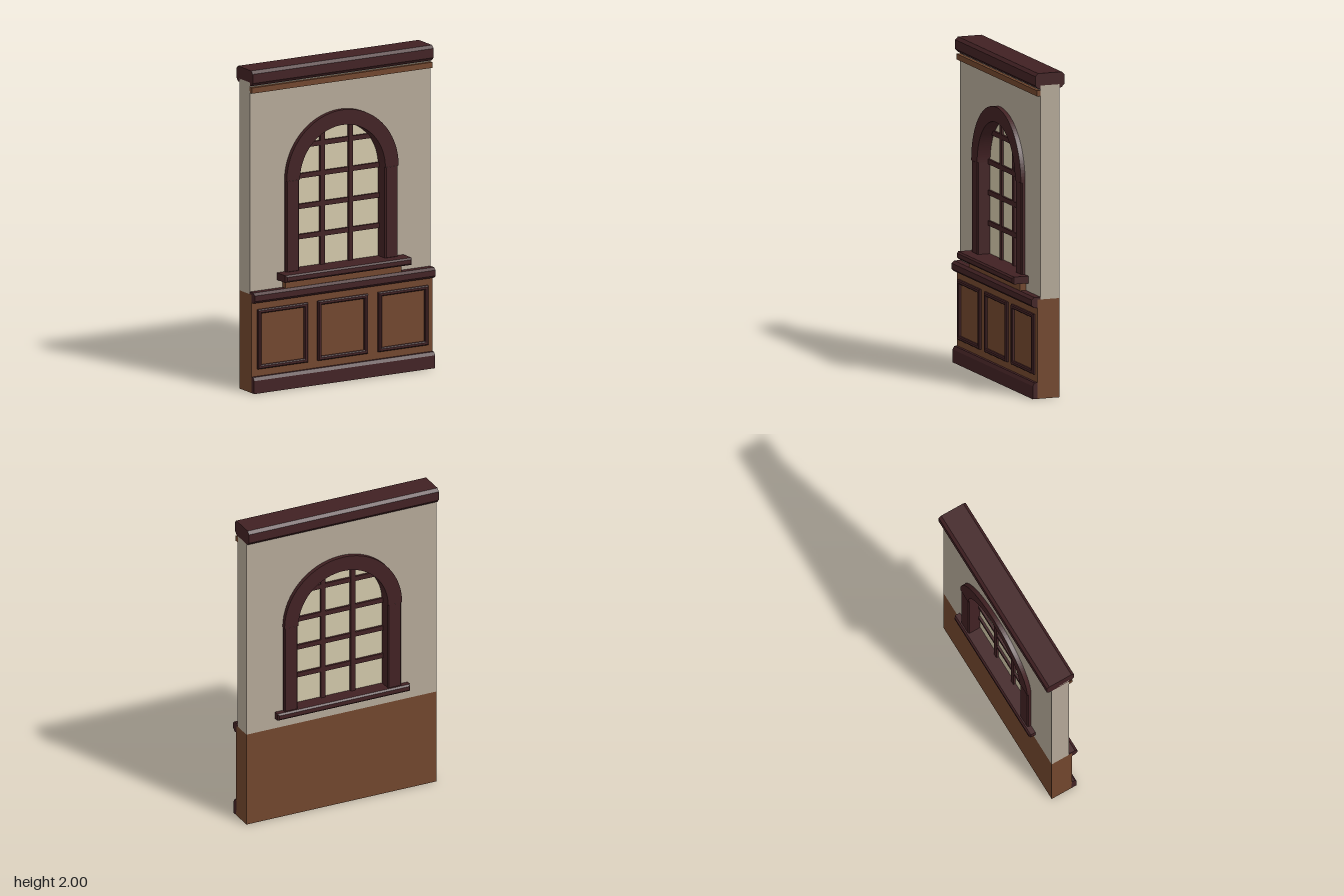
import * as THREE from 'three';

const mat = (name, color) => {
  const m = new THREE.MeshStandardMaterial({ color });
  m.name = name;
  return m;
};

export function createModel() {
  const root = new THREE.Group();
  root.name = 'wallWithArchedWindow';
  const plaster = mat('plaster', 0xb3a797);
  const brown = mat('brownWood', 0x71462d);
  const dark = mat('darkWood', 0x412123);
  const glass = mat('paleGlass', 0xd0c6a8);

  const W = 1.28, SPRING = 1.285, BACK = -0.093;

  const add = (name, geo, material, parent = root) => {
    const m = new THREE.Mesh(geo, material);
    m.name = name;
    parent.add(m);
    return m;
  };

  // Plain block from its limits
  const block = (name, x0, x1, y0, y1, z0, z1, material, parent) => {
    const g = new THREE.BoxGeometry(x1 - x0, y1 - y0, z1 - z0);
    g.translate((x0 + x1) / 2, (y0 + y1) / 2, (z0 + z1) / 2);
    return add(name, g, material, parent);
  };

  const rect = (C, x0, x1, y0, y1) => {
    const s = new C();
    s.moveTo(x0, y0); s.lineTo(x1, y0); s.lineTo(x1, y1); s.lineTo(x0, y1);
    s.closePath();
    return s;
  };

  // Shape pushed from z0 to z1 with chamfered edges of size b
  const slab = (shape, z0, z1, b = 0) => {
    const g = new THREE.ExtrudeGeometry(shape, {
      depth: z1 - z0 - 2 * b, bevelEnabled: b > 0, bevelSize: b,
      bevelThickness: b, bevelOffset: -b, bevelSegments: 1, curveSegments: 32,
    });
    return g.translate(0, 0, z0 + b);
  };

  // Moulding with a [z, y] section running the whole width
  const moulding = (name, section, material) => {
    const s = new THREE.Shape(section.map(([z, y]) => new THREE.Vector2(z, y)));
    const g = new THREE.ExtrudeGeometry(s, { depth: W, bevelEnabled: false });
    g.rotateY(-Math.PI / 2).translate(W / 2, 0, 0);
    return add(name, g, material);
  };

  // Round-headed outline of half width r
  const archOutline = (C, r, bottom) => {
    const s = new C();
    s.moveTo(-r, bottom);
    s.lineTo(r, bottom);
    s.lineTo(r, SPRING);
    s.absarc(0, SPRING, r, 0, Math.PI, false);
    s.lineTo(-r, bottom);
    return s;
  };

  // Wall: panelled base and plaster with an arched opening
  block('wainscot', -W / 2, W / 2, 0, 0.61, BACK, 0.05, brown);
  const wall = rect(THREE.Shape, -W / 2, W / 2, 0.61, 1.925);
  wall.holes.push(archOutline(THREE.Path, 0.35, 0.7));
  add('plasterWall', slab(wall, BACK, 0.03), plaster);

  // Horizontal mouldings
  moulding('baseboard', [[0.045, 0], [0.08, 0], [0.08, 0.08], [0.068, 0.1], [0.045, 0.1]], dark);
  moulding('chairRail', [[0.045, 0.56], [0.07, 0.56], [0.087, 0.575], [0.087, 0.61],
    [0.07, 0.625], [0.025, 0.625], [0.025, 0.61], [0.045, 0.605]], dark);
  moulding('pictureRail', [[0.025, 1.86], [0.053, 1.86], [0.053, 1.895], [0.025, 1.895]], brown);
  moulding('cornice', [[-0.107, 1.905], [0.043, 1.905], [0.063, 1.925], [0.063, 1.982],
    [0.045, 2], [-0.109, 2], [-0.127, 1.982], [-0.127, 1.925]], dark);

  // Three framed panels
  for (const x of [-0.427, 0, 0.427]) {
    const f = rect(THREE.Shape, x - 0.177, x + 0.177, 0.145, 0.515);
    f.holes.push(rect(THREE.Path, x - 0.152, x + 0.152, 0.17, 0.49));
    add('panelMoulding', slab(f, 0.045, 0.068, 0.006), dark);
  }

  // Window casing: arch and two posts through the wall
  const casing = new THREE.Group();
  casing.name = 'windowCasing';
  root.add(casing);
  const ring = new THREE.Shape();
  ring.absarc(0, SPRING, 0.396, 0, Math.PI, false);
  ring.absarc(0, SPRING, 0.302, Math.PI, 0, true);
  ring.closePath();
  add('archCasing', slab(ring, -0.12, 0.058), dark, casing);
  for (const s of [-1, 1]) {
    const post = rect(THREE.Shape, s * 0.349 - 0.046, s * 0.349 + 0.046, 0.715, SPRING + 0.005);
    add('postCasing', slab(post, -0.117, 0.055, 0.007), dark, casing);
  }

  // Sill and apron
  add('sill', slab(rect(THREE.Shape, -0.447, 0.447, 0.675, 0.72), -0.135, 0.133, 0.01), dark);
  block('apron', -0.41, 0.41, 0.62, 0.68, 0.025, 0.068, brown);

  // Glass and glazing bars
  add('glass', slab(archOutline(THREE.Shape, 0.308, 0.715), -0.035, -0.027), glass);
  const bars = new THREE.Group();
  bars.name = 'glazingBars';
  root.add(bars);
  const R = 0.31, T = 0.015;
  for (const x of [-0.1, 0.1]) {
    block('verticalBar', x - T, x + T, 0.715, SPRING + Math.sqrt(R * R - x * x), -0.051, -0.011, dark, bars);
  }
  for (const y of [0.91, 1.098, 1.287, 1.475]) {
    const h = Math.sqrt(R * R - Math.max(0, y - SPRING) ** 2);
    block('horizontalBar', -h, h, y - T, y + T, -0.049, -0.013, dark, bars);
  }

  return root;
}
